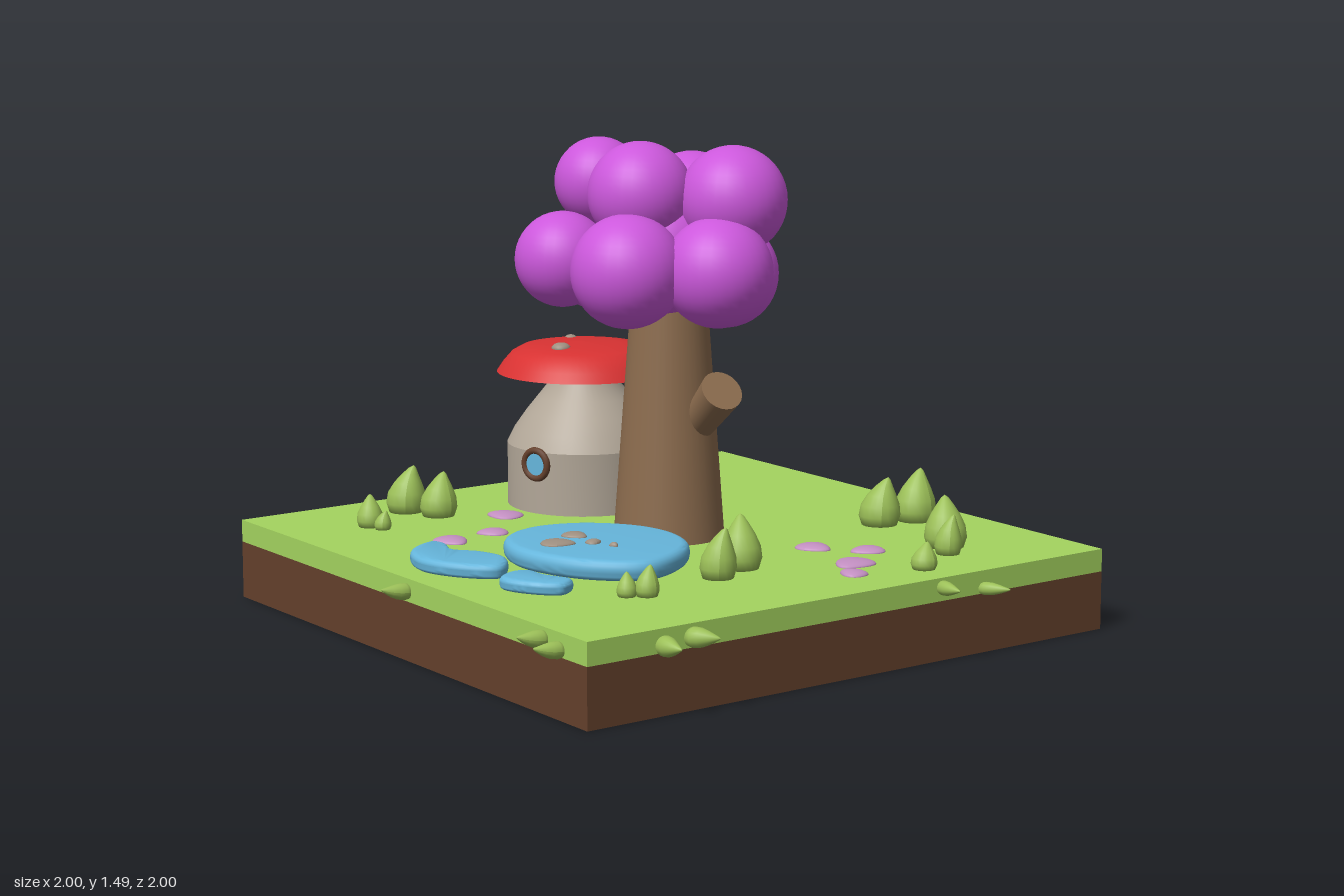
import * as THREE from 'three';
import { toCreasedNormals } from 'three/addons/utils/BufferGeometryUtils.js';

const mat = (name, color) => {
  const m = new THREE.MeshStandardMaterial({ color });
  m.name = name;
  return m;
};

export function createModel() {
  const M = {
    grass: mat('grass green', 0xa4d45f),
    dirt: mat('soil brown', 0x64402c),
    bark: mat('bark brown', 0x8c6c4e),
    leaf: mat('blossom purple', 0xcc58dc),
    bush: mat('bush green', 0x9cc058),
    wall: mat('stalk beige', 0xb2a798),
    cap: mat('cap red', 0xd83232),
    water: mat('water blue', 0x66b6dc),
    pink: mat('path pink', 0xc38fc2),
    stone: mat('stone grey', 0x9e8f80),
  };
  const root = new THREE.Group();
  root.name = 'mushroomGarden';
  const add = (name, geo, material, x = 0, y = 0, z = 0) => {
    const mesh = new THREE.Mesh(geo, material);
    mesh.name = name;
    mesh.position.set(x, y, z);
    root.add(mesh);
    return mesh;
  };
  const lathe = (pts, seg = 48) =>
    new THREE.LatheGeometry(pts.map(([r, y]) => new THREE.Vector2(r, y)), seg);

  // Ground slab
  add('soil', new THREE.BoxGeometry(1.91, 0.18, 1.91), M.dirt, 0.035, 0.09, -0.045);
  add('lawn', new THREE.BoxGeometry(1.91, 0.07, 1.91), M.grass, 0.035, 0.215, -0.045);

  // Tree trunk and cut branch
  add('trunk', new THREE.CylinderGeometry(0.11, 0.172, 0.85, 40), M.bark, 0.05, 0.67, -0.035);
  const from = new THREE.Vector3(0.09, 0.6, 0.05);
  const to = new THREE.Vector3(0.068, 0.735, 0.21);
  const dir = to.clone().sub(from);
  const branch = add('branch', new THREE.CylinderGeometry(0.066, 0.052, dir.length(), 24), M.bark);
  branch.position.copy(from).add(to).multiplyScalar(0.5);
  branch.quaternion.setFromUnitVectors(new THREE.Vector3(0, 1, 0), dir.normalize());

  // Crown of overlapping balls: x, y, z, radius
  [
    [-0.095, 1.325, 0.015, 0.16], [0.115, 1.31, 0.2, 0.165], [0.155, 1.27, -0.06, 0.165],
    [0.007, 1.107, 0.268, 0.167], [0.19, 1.075, -0.1, 0.165], [-0.29, 1.13, -0.115, 0.145],
    [-0.21, 1.11, 0.11, 0.172], [-0.07, 1.1, -0.235, 0.157], [-0.12, 1.35, -0.165, 0.136],
    [0.13, 1.08, 0.14, 0.165], [0, 1.15, 0, 0.2],
  ].forEach(([x, y, z, r]) => add('crownBall', new THREE.SphereGeometry(r, 32, 22), M.leaf, x, y, z));

  // Mushroom house
  const hx = 0.125, hz = -0.6;
  add('houseWall', toCreasedNormals(lathe([
    [0.25, 0.25], [0.25, 0.45], [0.225, 0.5], [0.19, 0.55], [0.15, 0.6], [0.11, 0.65], [0.09, 0.71],
  ]), 0.4), M.wall, hx, 0, hz);
  add('capTop', lathe([
    [0.277, 0.68], [0.257, 0.71], [0.23, 0.741], [0.195, 0.76], [0.12, 0.772], [0, 0.776],
  ], 56), M.cap, hx, 0, hz - 0.01);
  add('capUnderside', lathe([[0.06, 0.7], [0.277, 0.68]], 56), M.cap, hx, 0, hz - 0.01);
  [[0.155, -0.72, 0.02], [0.012, -0.567, 0.031]].forEach(([x, z, r]) => {
    add('capSpot', new THREE.SphereGeometry(r, 20, 12), M.stone, x, 0.768, z).scale.y = 0.6;
  });

  // Round window on the house wall
  const win = new THREE.Group();
  win.name = 'window';
  const frame = new THREE.Mesh(new THREE.TorusGeometry(0.045, 0.011, 10, 28), M.dirt);
  frame.name = 'windowFrame';
  const pane = new THREE.Mesh(new THREE.CircleGeometry(0.045, 28), M.water);
  pane.name = 'windowPane';
  pane.position.z = 0.004;
  win.add(frame, pane);
  win.position.set(hx - 0.24, 0.41, hz + 0.073);
  win.rotation.y = Math.atan2(-0.24, 0.073);
  root.add(win);

  // Water: rounded flat slabs on closed outlines of [x, z]
  const pool = (name, pts, y, h) => {
    const curve = new THREE.CatmullRomCurve3(pts.map(([x, z]) => new THREE.Vector3(x, -z, 0)), true);
    const shape = new THREE.Shape(curve.getPoints(56).slice(0, -1).map(p => new THREE.Vector2(p.x, p.y)));
    const b = h * 0.4;
    const geo = new THREE.ExtrudeGeometry(shape, {
      depth: h - 2 * b, bevelEnabled: true, bevelThickness: b, bevelSize: b, bevelOffset: -b, bevelSegments: 4,
    });
    geo.rotateX(-Math.PI / 2);
    add(name, toCreasedNormals(geo, 0.7), M.water, 0, y + b, 0);
  };
  pool('pond', [
    [-0.41, -0.11], [-0.55, -0.05], [-0.62, 0.1], [-0.6, 0.27], [-0.53, 0.4], [-0.41, 0.49],
    [-0.27, 0.45], [-0.15, 0.34], [-0.11, 0.2], [-0.14, 0.06], [-0.26, -0.07],
  ], 0.262, 0.063);
  pool('crescentPool', [
    [-0.69, -0.23], [-0.8, -0.18], [-0.85, -0.05], [-0.8, 0.09], [-0.71, 0.17],
    [-0.63, 0.08], [-0.65, -0.03], [-0.7, -0.1], [-0.675, -0.18],
  ], 0.25, 0.045);
  pool('smallPool', [
    [-0.71, 0.225], [-0.78, 0.27], [-0.76, 0.36], [-0.68, 0.445], [-0.62, 0.41], [-0.65, 0.32], [-0.66, 0.24],
  ], 0.25, 0.04);

  // Flat pebbles, narrowed toward one end: x, z, radius, turn
  const pebble = new THREE.SphereGeometry(1, 20, 12);
  const pp = pebble.attributes.position;
  for (let i = 0; i < pp.count; i++) {
    pp.setX(i, pp.getX(i) * (0.85 - 0.3 * pp.getZ(i)));
  }
  pebble.computeVertexNormals();
  const pebbles = (name, material, y, h, list) => list.forEach(([x, z, r, turn]) => {
    const p = add(name, pebble, material, x, y, z);
    p.scale.set(r, h, r);
    p.rotation.y = turn;
  });
  pebbles('pondStone', M.stone, 0.325, 0.012, [
    [-0.49, 0.145, 0.053, 0.9], [-0.39, 0.09, 0.042, 0.2], [-0.4, 0.2, 0.025, 1.5], [-0.375, 0.27, 0.015, 0],
  ]);
  pebbles('pathStone', M.pink, 0.25, 0.015, [
    [-0.215, -0.56, 0.06, 3.6], [-0.55, -0.345, 0.06, 0], [-0.385, -0.37, 0.05, -2], [-0.29, -0.27, 0.04, 1],
    [0.29, 0.385, 0.058, 0.2], [0.395, 0.51, 0.055, -1.8], [0.25, 0.62, 0.068, -1.2], [0.165, 0.72, 0.045, 3.3],
  ]);

  // Bush: pointed drop whose tip leans to one side
  const drop = lathe([[0, 0], [0.85, 0], [1, 0.2], [0.93, 0.42], [0.68, 0.64], [0.4, 0.82], [0.17, 0.95], [0, 1]], 20);
  const dp = drop.attributes.position;
  for (let i = 0; i < dp.count; i++) dp.setX(i, dp.getX(i) + 0.4 * dp.getY(i) ** 3);
  drop.computeVertexNormals();
  [
    [0.67, 0.24, 0.066, 0.15], [0.8, 0.26, 0.066, 0.165], [0.63, 0.6, 0.066, 0.155], [0.57, 0.68, 0.042, 0.12],
    [0.38, 0.79, 0.04, 0.08], [-0.05, 0.46, 0.064, 0.16], [-0.18, 0.52, 0.055, 0.15], [-0.48, 0.58, 0.036, 0.09],
    [-0.53, 0.55, 0.03, 0.07], [-0.43, -0.805, 0.064, 0.15], [-0.38, -0.69, 0.06, 0.14],
    [-0.64, -0.68, 0.042, 0.1], [-0.63, -0.62, 0.027, 0.06],
  ].forEach(([x, z, r, h], i) => {
    const b = add('bush', drop, M.bush, x, 0.25, z);
    b.scale.set(r, h, r);
    b.rotation.y = (i % 3) * 0.8 - 0.6;
  });

  // Sprouts growing out of the slab's front and side edges
  const sprout = (x, y, z, rx, rz, r) => {
    const s = add('edgeSprout', drop, M.bush, x, y, z);
    s.scale.set(r, 0.1, r);
    s.rotation.set(rx, 0, rz);
  };
  [[-0.66, 0.2, 0.03], [-0.57, 0.21, 0.03], [0.35, 0.22, 0.022], [0.505, 0.195, 0.02]]
    .forEach(([x, y, r], i) => sprout(x, y, 0.9, 1.5, i % 2 ? -0.3 : 0.2, r));
  [[-0.01, 0.21, 0.025], [0.7, 0.215, 0.026], [0.78, 0.2, 0.025]]
    .forEach(([z, y, r]) => sprout(-0.91, y, z, 0, 1.5, r));

  return root;
}
